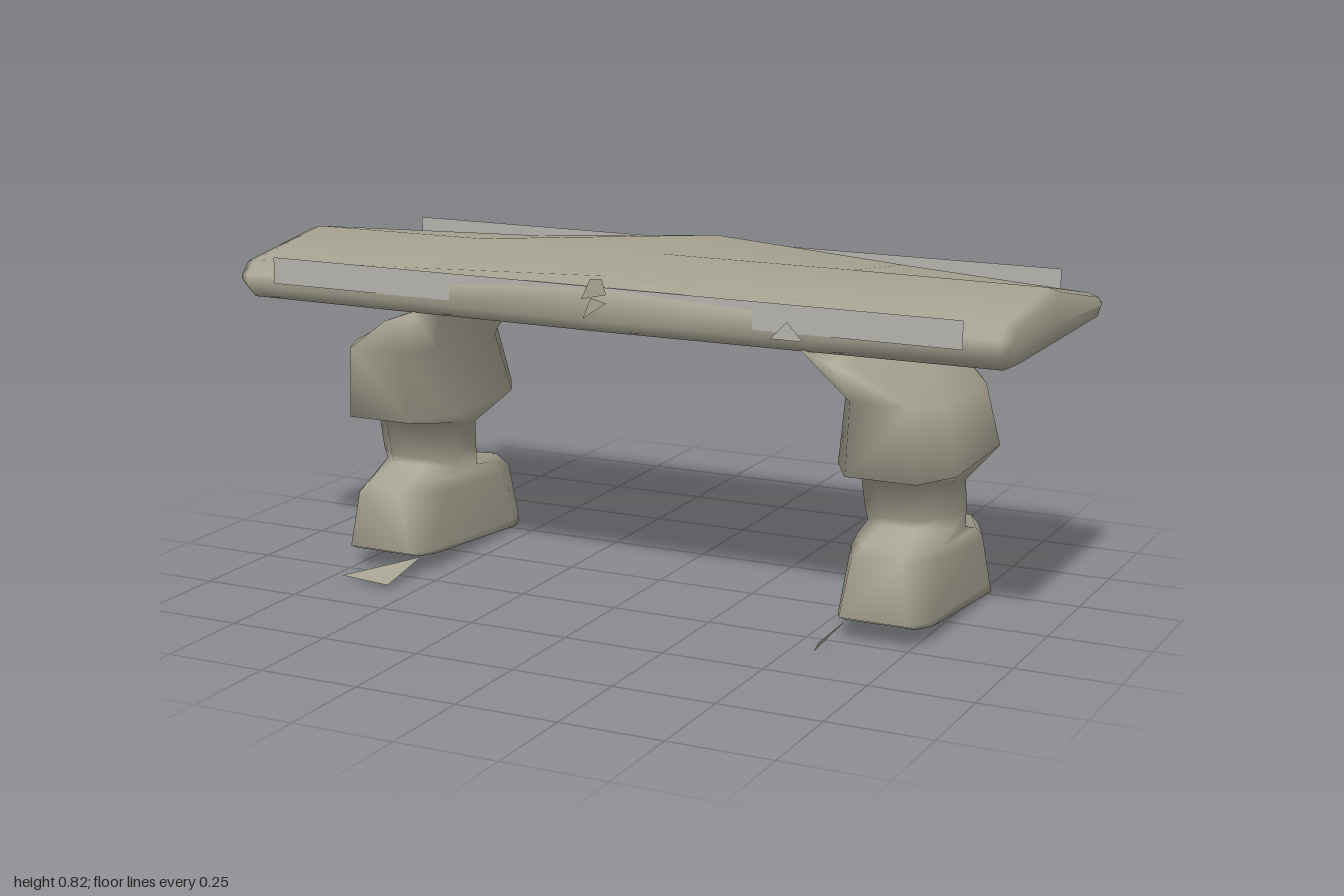
import * as THREE from 'three';

const stone = new THREE.MeshStandardMaterial({ color: 0xa7a392, side: THREE.DoubleSide });
stone.name = 'weathered stone';
const paleGrey = new THREE.MeshStandardMaterial({ color: 0xb3b2ac, side: THREE.DoubleSide });
paleGrey.name = 'pale grey';

function mesh(name, geometry, material = stone) {
  const m = new THREE.Mesh(geometry, material);
  m.name = name;
  return m;
}

// Skin a list of equal-length point rings with soft shading, capping both ends.
function loft(rings) {
  const n = rings[0].length, pos = [], index = [];
  rings.forEach(r => r.forEach(p => pos.push(...p)));
  for (let i = 0; i < rings.length - 1; i++) {
    for (let j = 0; j < n; j++) {
      const a = i * n + j, b = i * n + (j + 1) % n;
      index.push(a, b, b + n, a, b + n, a + n);
    }
  }
  [0, rings.length - 1].forEach(i => {
    const c = pos.length / 3;
    pos.push(...[0, 1, 2].map(k => rings[i].reduce((s, p) => s + p[k], 0) / n));
    for (let j = 0; j < n; j++) {
      const a = i * n + j, b = i * n + (j + 1) % n;
      index.push(c, ...(i ? [a, b] : [b, a]));
    }
  });
  // Turn faces outward if the enclosed volume is negative.
  const v = i => new THREE.Vector3().fromArray(pos, i * 3);
  let volume = 0;
  for (let i = 0; i < index.length; i += 3) {
    volume += v(index[i]).dot(v(index[i + 1]).cross(v(index[i + 2])));
  }
  if (volume < 0) index.reverse();
  const g = new THREE.BufferGeometry();
  g.setAttribute('position', new THREE.Float32BufferAttribute(pos, 3));
  g.setIndex(index);
  g.computeVertexNormals();
  return g;
}

// A thin flat polygon.
function sheet(points) {
  const g = new THREE.BufferGeometry();
  g.setAttribute('position', new THREE.Float32BufferAttribute(points.flat(), 3));
  const index = [];
  for (let i = 1; i < points.length - 1; i++) index.push(0, i, i + 1);
  g.setIndex(index);
  g.computeVertexNormals();
  return g;
}

// Slab section at x: the top peaks at the middle, its edges sag toward the ends.
function slabSection([x, front, back, yFront, yBack, low, high]) {
  return [
    [x, low, front - 0.03], [x, low + 0.03, front], [x, yFront - 0.03, front],
    [x, yFront, front - 0.03], [x, high, 0], [x, yBack, back + 0.03],
    [x, yBack - 0.025, back], [x, low + 0.03, back], [x, low, back + 0.03], [x, low, 0],
  ];
}

// x, front z, back z, front top y, back top y, underside y, ridge y
const slab = [
  [-1.0, 0.315, -0.33, 0.775, 0.755, 0.705, 0.815],
  [-0.975, 0.326, -0.335, 0.78, 0.76, 0.69, 0.823],
  [-0.5, 0.333, -0.345, 0.80, 0.785, 0.69, 0.825],
  [0, 0.34, -0.355, 0.822, 0.822, 0.69, 0.825],
  [0.5, 0.333, -0.355, 0.805, 0.785, 0.69, 0.825],
  [0.97, 0.326, -0.355, 0.79, 0.755, 0.69, 0.823],
  [1.0, 0.315, -0.335, 0.785, 0.75, 0.705, 0.815],
];

// Leg levels: inner x, outer x, front z, front y, back z, back y, outer drop, corner cut
const levels = [
  [0.555, 0.775, 0.21, 0.045, -0.31, 0.003, 0, 0.1],
  [0.55, 0.775, 0.245, 0.06, -0.31, 0.03, 0, 0.12],
  [0.55, 0.775, 0.24, 0.205, -0.31, 0.16, 0, 0.24],
  [0.56, 0.77, 0.2, 0.225, -0.25, 0.205, 0.01, 0.24],
  [0.56, 0.77, 0.10, 0.25, -0.135, 0.21, 0, 0.3],
  [0.555, 0.775, 0.105, 0.27, -0.125, 0.27, 0, 0.3],
  [0.55, 0.775, 0.13, 0.37, -0.12, 0.33, 0, 0.3],
  [0.52, 0.81, 0.225, 0.39, -0.285, 0.4, 0, 0.2],
  [0.545, 0.785, 0.24, 0.57, -0.24, 0.55, 0, 0.2],
  [0.49, 0.6, 0.32, 0.7, -0.32, 0.7, 0.04, 0.15],
];

function legRing(side, [x0, x1, zf, yf, zb, yb, drop, cut]) {
  const outline = [[cut, 0], [1 - cut, 0], [1, cut], [1, 1 - cut],
    [1 - cut, 1], [cut, 1], [0, 1 - cut], [0, cut]];
  return outline.map(([u, w]) => [
    side * (x0 + (x1 - x0) * u),
    yf + (yb - yf) * w - drop * u,
    zf + (zb - zf) * w,
  ]);
}

export function createModel() {
  const model = new THREE.Group();
  model.name = 'stoneBench';
  model.add(mesh('seatSlab', loft(slab.map(slabSection))));

  // Bands along both long edges; the front one sinks into the slab at the middle
  const band = (name, z, end, low) => mesh(name, sheet([
    [-end, low, z], [end, low, z], [end, 0.8, z], [-end, 0.8, z]]), paleGrey);
  model.add(band('frontBand', 0.3345, 0.89, 0.735));
  model.add(band('backBand', -0.362, -0.89, 0.73));

  // Chips on the front edge
  model.add(mesh('centreChipUpper', sheet([
    [-0.01, 0.82, 0.344], [-0.035, 0.77, 0.344], [0.03, 0.785, 0.344], [0.02, 0.82, 0.344]])));
  model.add(mesh('centreChipLower', sheet([
    [-0.03, 0.725, 0.344], [0.03, 0.765, 0.344], [-0.01, 0.775, 0.344]])));
  model.add(mesh('sideChip', sheet([
    [0.44, 0.72, 0.342], [0.52, 0.72, 0.342], [0.48, 0.762, 0.342]]), paleGrey));

  // Mirrored legs
  for (const side of [-1, 1]) {
    model.add(mesh(side > 0 ? 'leftLeg' : 'rightLeg',
      loft(levels.map(l => legRing(side, l)))));
  }

  // Splinters at the front of the feet
  model.add(mesh('rightFootSplinter', sheet([
    [-0.7, 0.02, 0.36], [-0.57, 0.012, 0.36], [-0.57, 0.042, 0.2]])));
  model.add(mesh('leftFootSplinter', sheet([
    [0.565, 0.012, 0.36], [0.58, 0.042, 0.2], [0.575, 0.033, 0.36]])));
  return model;
}
